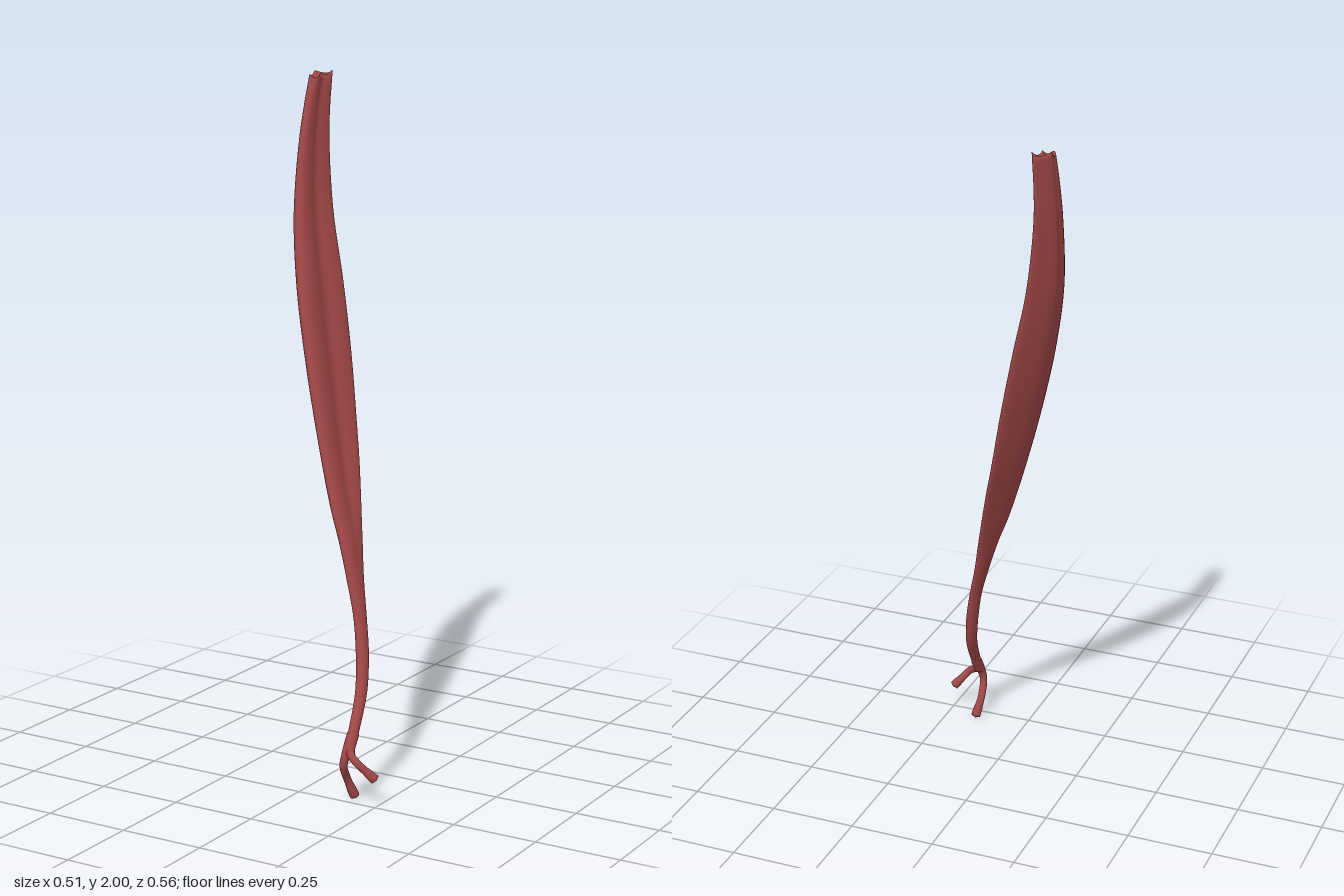
import * as THREE from 'three';

const material = new THREE.MeshStandardMaterial({ color: 0xa04646, roughness: 0.8 });
const SIDES = 48;
const STEPS = 90;

// Extents of the muscle at each height: y, xMin, xMax, zMin, zMax
const levels = [
  [1.99, -0.255, -0.203, -0.28, -0.205],
  [1.9, -0.256, -0.203, -0.267, -0.172],
  [1.8, -0.256, -0.198, -0.255, -0.14],
  [1.6, -0.246, -0.168, -0.23, -0.085],
  [1.4, -0.208, -0.118, -0.205, -0.03],
  [1.2, -0.155, -0.067, -0.165, 0.01],
  [1.0, -0.092, -0.016, -0.11, 0.045],
  [0.8, -0.02, 0.045, -0.035, 0.08],
  [0.7, 0.023, 0.075, 0.005, 0.093],
  [0.6, 0.06, 0.1, 0.04, 0.106],
  [0.5, 0.093, 0.127, 0.073, 0.12],
  [0.4, 0.115, 0.15, 0.1, 0.142],
  [0.3, 0.133, 0.165, 0.135, 0.175],
  [0.2, 0.149, 0.178, 0.205, 0.241],
  [0.15, 0.15, 0.178, 0.234, 0.266],
];
const xCurve = new THREE.CatmullRomCurve3(levels.map(([y, a, b]) => new THREE.Vector3(a, y, b)));
const zCurve = new THREE.CatmullRomCurve3(levels.map(([y, , , a, b]) => new THREE.Vector3(a, y, b)));

// Curved, flattened section of the belly, as fractions of the extents
const belly = new THREE.CatmullRomCurve3([
  [0.88, 0], [1, 0.1], [0.9, 0.3], [0.74, 0.5], [0.76, 0.72], [0.68, 0.92],
  [0.45, 1], [0.2, 0.88], [0.03, 0.66], [0.1, 0.5], [0.12, 0.38], [0.48, 0.16],
].map(([u, v]) => new THREE.Vector3(u, 0, v)), true);

function sectionPoint(j, y) {
  const a = (j / SIDES) * Math.PI * 2;
  const p = belly.getPoint(j / SIDES);
  const round = new THREE.Vector3(0.5 + 0.5 * Math.sin(a), 0, 0.5 - 0.5 * Math.cos(a));
  return p.lerp(round, 1 - THREE.MathUtils.smoothstep(y, 0.45, 0.95));
}

// Belly and long tendon, lofted from top to bottom with closed ends
function muscleGeometry() {
  const pos = [], index = [];
  for (let i = -1; i <= STEPS + 1; i++) {
    const t = THREE.MathUtils.clamp(i / STEPS, 0, 1);
    const ex = xCurve.getPoint(t), ez = zCurve.getPoint(t);
    const closed = i < 0 || i > STEPS;
    for (let j = 0; j < SIDES; j++) {
      const p = sectionPoint(j, ex.y);
      if (closed) p.set(0.55, 0, 0.5);
      const a = (j / SIDES) * Math.PI * 2;
      // uneven upper rim
      const rim = closed ? (i < 0 ? -0.02 : 0)
        : Math.max(0, 1 - t * 25) * (0.006 * Math.cos(a) + 0.005 * Math.sin(a * 4));
      pos.push(
        THREE.MathUtils.lerp(ex.x, ex.z, p.x),
        ex.y + rim,
        THREE.MathUtils.lerp(ez.x, ez.z, p.z),
      );
    }
  }
  for (let i = 0; i < STEPS + 2; i++) {
    for (let j = 0; j < SIDES; j++) {
      const a = i * SIDES + j, b = i * SIDES + (j + 1) % SIDES;
      index.push(a, b, a + SIDES, b, b + SIDES, a + SIDES);
    }
  }
  const geo = new THREE.BufferGeometry();
  geo.setAttribute('position', new THREE.Float32BufferAttribute(pos, 3));
  geo.setIndex(index);
  geo.computeVertexNormals();
  return geo;
}

// Tapered tendon slip that flares at its tip and closes there
function slipGeometry(points) {
  const curve = new THREE.CatmullRomCurve3(points.map((p) => new THREE.Vector3(...p)));
  const segs = 32, sides = 14;
  const geo = new THREE.TubeGeometry(curve, segs, 1, sides);
  const pos = geo.attributes.position, v = new THREE.Vector3();
  for (let i = 0; i <= segs; i++) {
    const t = i / segs, c = curve.getPointAt(t);
    const flare = 0.003 * THREE.MathUtils.smoothstep(t, 0.7, 0.95);
    const r = i === segs ? 0 : 0.016 - 0.005 * THREE.MathUtils.smoothstep(t, 0, 0.5) + flare;
    for (let j = 0; j <= sides; j++) {
      const k = i * (sides + 1) + j;
      v.fromBufferAttribute(pos, k).sub(c).multiplyScalar(r).add(c);
      pos.setXYZ(k, v.x, v.y, v.z);
    }
  }
  geo.computeVertexNormals();
  return geo;
}

export function createModel() {
  const group = new THREE.Group();
  group.name = 'forearmMuscle';
  const add = (name, geo) => {
    const mesh = new THREE.Mesh(geo, material);
    mesh.name = name;
    group.add(mesh);
  };
  add('bellyAndTendon', muscleGeometry());
  // Two slips at the lower end
  add('lowerTendonSlip', slipGeometry([
    [0.163, 0.2, 0.223], [0.16, 0.15, 0.254], [0.154, 0.115, 0.26], [0.15, 0.07, 0.235], [0.16, 0.005, 0.205],
  ]));
  add('sideTendonSlip', slipGeometry([
    [0.164, 0.2, 0.223], [0.173, 0.152, 0.254], [0.2, 0.133, 0.266], [0.225, 0.105, 0.252], [0.247, 0.08, 0.237],
  ]));
  return group;
}
